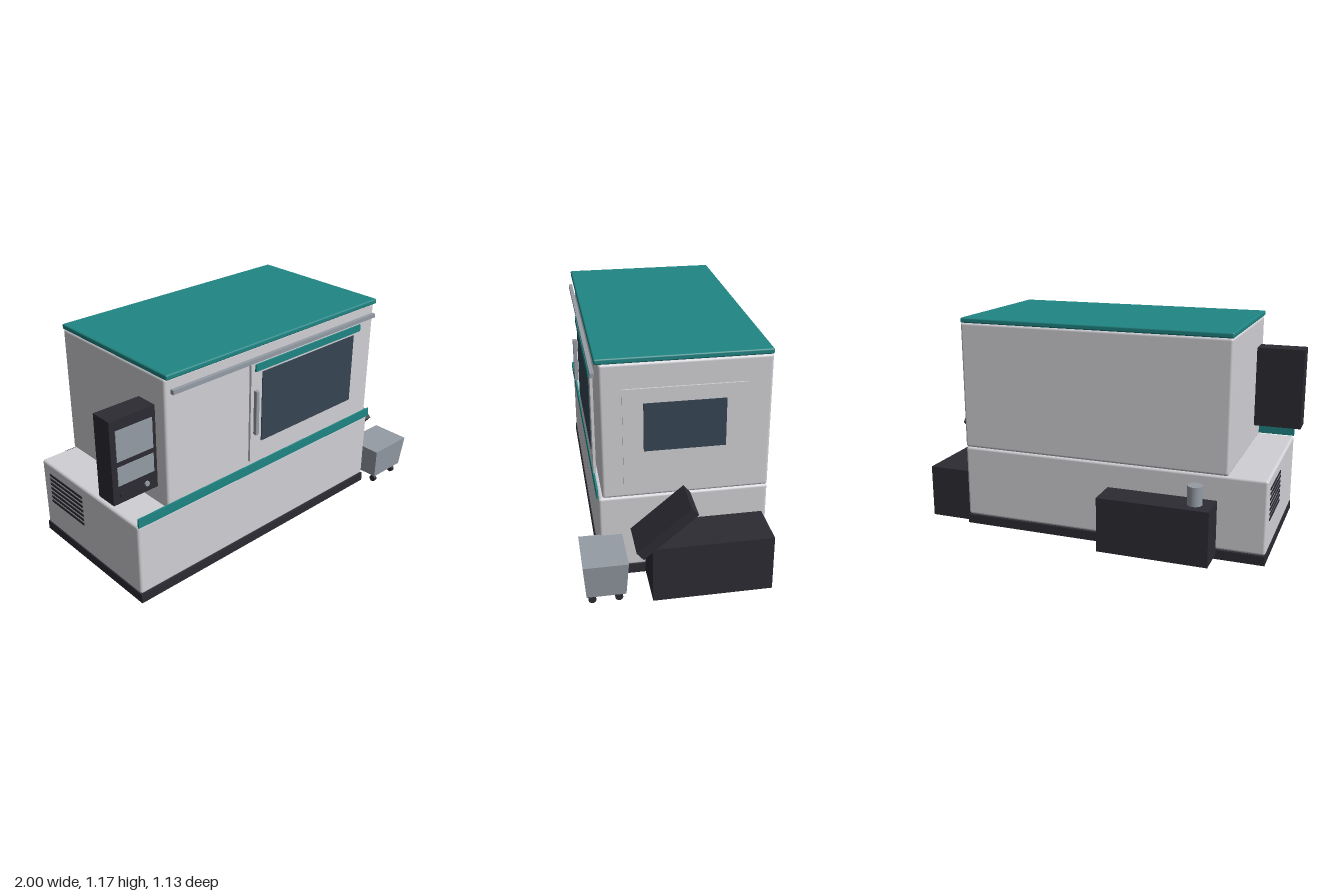
import * as THREE from 'three';
import { RoundedBoxGeometry } from 'three/addons/geometries/RoundedBoxGeometry.js';

const mat = (name, color) => {
  const m = new THREE.MeshStandardMaterial({ color });
  m.name = name;
  return m;
};

export function createModel() {
  const model = new THREE.Group();
  model.name = 'machiningCentre';
  const shell = mat('light grey shell', 0xd0d0d5);
  const dark = mat('charcoal', 0x2c2b33);
  const teal = mat('teal trim', 0x1f8583);
  const steel = mat('steel grey', 0x959ca5);
  const glass = mat('dark glass', 0x354553);

  const add = (name, geometry, material, x, y, z) => {
    const mesh = new THREE.Mesh(geometry, material);
    mesh.name = name;
    mesh.position.set(x, y, z);
    model.add(mesh);
    return mesh;
  };
  // Box given by its limits on each axis; r rounds the edges
  const box = (name, material, [x0, x1], [y0, y1], [z0, z1], r = 0) => {
    const size = [x1 - x0, y1 - y0, z1 - z0];
    const geometry = r ? new RoundedBoxGeometry(...size, 3, r) : new THREE.BoxGeometry(...size);
    return add(name, geometry, material, (x0 + x1) / 2, (y0 + y1) / 2, (z0 + z1) / 2);
  };

  // Main housing
  box('basePlinth', dark, [-0.94, 0.74], [0, 0.05], [-0.387, 0.464]);
  box('lowerBody', shell, [-0.94, 0.74], [0.05, 0.447], [-0.38, 0.46], 0.014);
  box('upperCabin', shell, [-0.74, 0.74], [0.447, 1.14], [-0.38, 0.44], 0.014);
  box('roof', teal, [-0.742, 0.738], [1.139, 1.167], [-0.382, 0.459], 0.008);
  box('frontBand', teal, [-0.94, 0.738], [0.447, 0.497], [0.46, 0.469]);

  // Sliding front door
  box('frontDoor', shell, [-0.225, 0.615], [0.522, 1.063], [0.456, 0.469]);
  box('doorWindow', glass, [-0.15, 0.543], [0.62, 1.008], [0.467, 0.473]);
  box('doorStripe', teal, [-0.2, 0.59], [1.022, 1.06], [0.468, 0.477]);
  box('doorHandle', steel, [-0.211, -0.19], [0.68, 0.925], [0.473, 0.496], 0.004);
  box('doorRail', steel, [-0.717, 0.713], [1.069, 1.091], [0.455, 0.475]);

  // Side access panel
  box('sidePanel', shell, [0.738, 0.748], [0.522, 1.015], [-0.257, 0.336]);
  box('sideWindow', glass, [0.745, 0.752], [0.694, 0.941], [-0.159, 0.238]);

  // Control console
  box('controlConsole', dark, [-1, -0.742], [0.549, 0.99], [0.247, 0.366]);
  box('upperScreen', steel, [-0.97, -0.762], [0.773, 0.934], [0.364, 0.37]);
  box('keypad', steel, [-0.97, -0.762], [0.645, 0.744], [0.364, 0.37]);
  for (const [x, m] of [[-0.952, dark], [-0.808, steel]]) {
    add('consoleButton', new THREE.CylinderGeometry(0.013, 0.013, 0.012, 16), m, x, 0.594, 0.37)
      .rotation.x = Math.PI / 2;
  }

  // Vent slats on the end wall
  for (let i = 0; i < 7; i++) {
    const y = 0.215 + i * 0.027;
    box('ventSlat', dark, [-0.944, -0.938], [y, y + 0.013], [-0.31, -0.01]);
  }

  // Chip conveyor with its inclined chute
  box('conveyorHousing', dark, [0.742, 0.985], [0.004, 0.296], [-0.356, 0.235]);
  add('conveyorChute', new THREE.BoxGeometry(0.215, 0.052, 0.34), dark, 0.876, 0.373, 0.164)
    .rotation.x = 0.695;

  // Chip cart: a box that narrows downwards, on four wheels
  const tub = new THREE.BoxGeometry(0.27, 0.178, 0.216);
  const p = tub.attributes.position;
  for (let i = 0; i < p.count; i++) {
    if (p.getY(i) < 0) p.setXYZ(i, p.getX(i) * 0.87, p.getY(i), p.getZ(i) * 0.88);
  }
  tub.computeVertexNormals();
  add('chipCart', tub, steel, 0.864, 0.15, 0.458);
  for (const x of [0.776, 0.946]) {
    for (const z of [0.395, 0.524]) {
      add('cartWheel', new THREE.CylinderGeometry(0.019, 0.019, 0.02, 16), dark, x, 0.026, z)
        .rotation.z = Math.PI / 2;
    }
  }

  // Coolant tank and pump at the back
  box('coolantTank', dark, [-0.69, -0.105], [0.028, 0.32], [-0.566, -0.395]);
  add('coolantPump', new THREE.CylinderGeometry(0.039, 0.039, 0.1, 24), steel, -0.597, 0.37, -0.481);

  return model;
}
